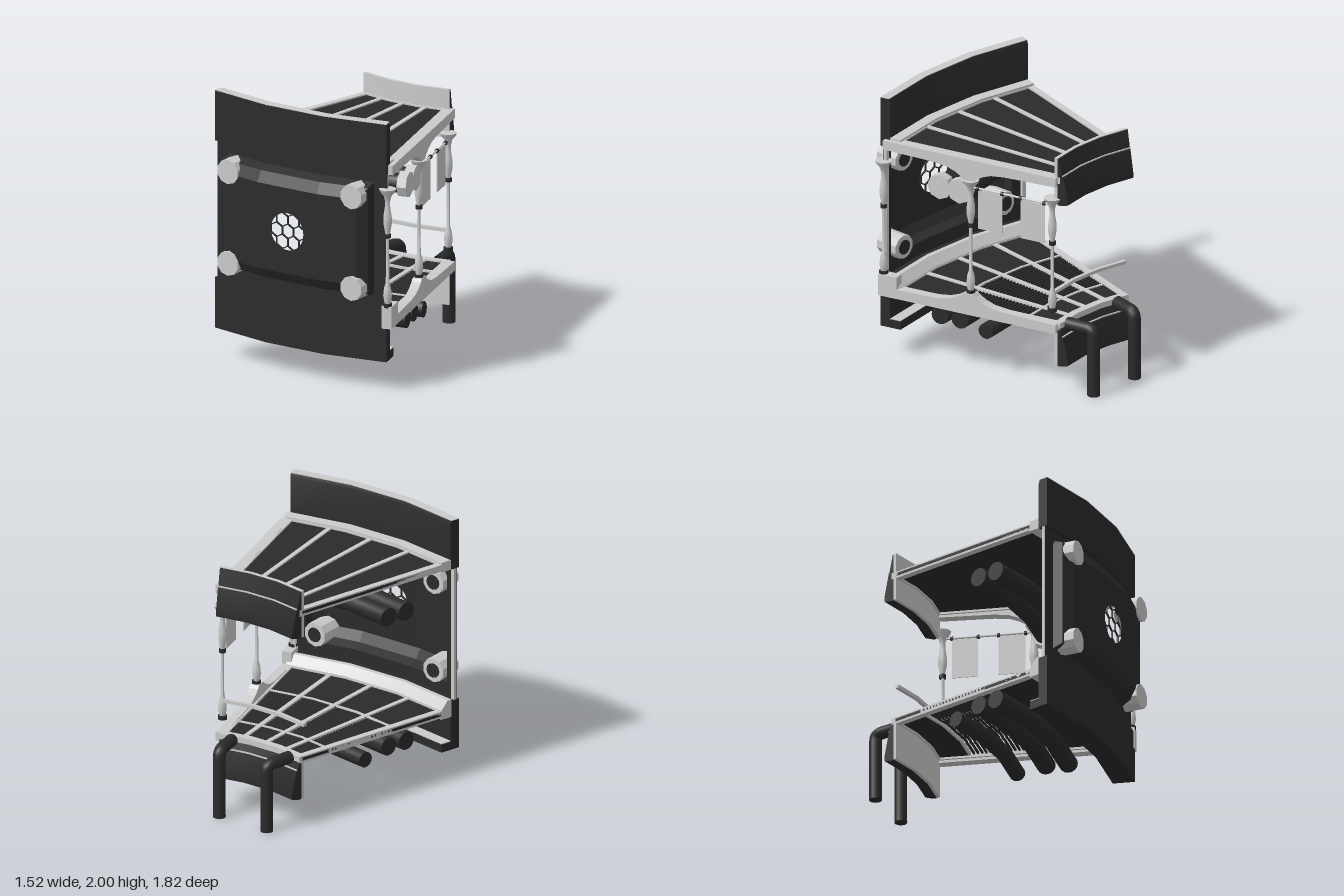
import * as THREE from 'three';
import { toCreasedNormals } from 'three/addons/utils/BufferGeometryUtils.js';

const CX = -0.035, CZ = -1.99, D = Math.PI / 180; // axis of the ring the wedge belongs to
const grey = new THREE.MeshStandardMaterial({ color: 0xcccccc, side: THREE.DoubleSide });
const dark = new THREE.MeshStandardMaterial({ color: 0x2b2b2b, side: THREE.DoubleSide });

function add(parent, name, geo, mat, x = 0, y = 0, z = 0) {
  const m = new THREE.Mesh(geo, mat);
  m.name = name;
  m.position.set(x, y, z);
  parent.add(m);
  return m;
}

// Point on the three-sided arc: corners at 5 and 15 degrees
function arcPoint(r, a, y) {
  const m = Math.abs(a) <= 5 ? a : Math.abs(a) - 10;
  const R = r * Math.cos(5 * D) / Math.cos(m * D);
  return [CX + R * Math.sin(a * D), y, CZ + R * Math.cos(a * D)];
}

function fromTriangles(pos) {
  const g = new THREE.BufferGeometry();
  g.setAttribute('position', new THREE.Float32BufferAttribute(pos, 3));
  g.computeVertexNormals();
  return g;
}

// Sweep a closed (radius, height) profile along the arc, with end caps
function sweep(profile, a0 = -15, a1 = 15) {
  const pts = profile.map(p => new THREE.Vector2(p[0], p[1]));
  if (THREE.ShapeUtils.isClockWise(pts)) pts.reverse();
  const angles = [a0, -5, 5, a1].filter((a, i) => i === 0 || i === 3 || (a > a0 && a < a1));
  const pos = [], P = (i, a) => arcPoint(pts[i].x, a, pts[i].y);
  for (let j = 0; j < angles.length - 1; j++) {
    for (let i = 0; i < pts.length; i++) {
      const k = (i + 1) % pts.length, a = angles[j], b = angles[j + 1];
      pos.push(...P(i, a), ...P(i, b), ...P(k, b), ...P(i, a), ...P(k, b), ...P(k, a));
    }
  }
  for (const [i, j, k] of THREE.ShapeUtils.triangulateShape(pts, [])) {
    pos.push(...P(i, a0), ...P(j, a0), ...P(k, a0), ...P(i, a1), ...P(k, a1), ...P(j, a1));
  }
  return toCreasedNormals(fromTriangles(pos), 0.45);
}
const rect = (r0, r1, y0, y1) => [[r0, y0], [r1, y0], [r1, y1], [r0, y1]];
const circle = (r, y, rad, n = 16) => Array.from({ length: n }, (_, i) =>
  [r + rad * Math.cos(i * 2 * Math.PI / n), y + rad * Math.sin(i * 2 * Math.PI / n)]);

// Group whose local +z runs outward from the axis at the given angle
function spoke(parent, name, deg) {
  const g = new THREE.Group();
  g.name = name;
  g.position.set(CX, 0, CZ);
  g.rotation.y = deg * D;
  parent.add(g);
  return g;
}

function bar(a, b, rad, n = 8) {
  return new THREE.TubeGeometry(new THREE.LineCurve3(a, b), 1, rad, n);
}

function buildFrontWall(root) {
  const wall = new THREE.Group();
  wall.name = 'frontWall';
  root.add(wall);
  add(wall, 'upperWall', sweep([[2.743, 1.62], [2.82, 1.62], [2.82, 1.995], [2.752, 1.995], [2.743, 1.97]]), dark);
  add(wall, 'upperWallCap', sweep(rect(2.752, 2.82, 1.993, 2)), grey);
  add(wall, 'upperFlange', sweep(rect(2.66, 2.745, 1.675, 1.695)), grey);
  add(wall, 'lowerWall', sweep([[2.66, 0.22], [2.82, 0.22], [2.82, 0.6], [2.743, 0.6], [2.743, 0.285], [2.66, 0.285]]), dark);
  add(wall, 'lowerFlangeCap', sweep(rect(2.66, 2.743, 0.283, 0.29)), grey);
  for (const s of [-1, 1]) {
    add(wall, 'wallEnd', sweep(rect(2.772, 2.798, 0.6, 1.62), s < 0 ? -15 : 14.4, s < 0 ? -14.4 : 15), grey);
  }

  // Middle wall with a pressed-out panel; its flat centre holds the window
  const cols = [-15, -12.9, -12.5, -11, -5, 5, 11, 12.5, 12.9, 15];
  const cd = [0, 0, 0.07, 0.111, 0.111, 0.111, 0.111, 0.07, 0, 0];
  const rows = [0.6, 0.7, 0.73, 0.8, 1.44, 1.52, 1.55, 1.62];
  const rd = [0, 0, 0.07, 0.111, 0.111, 0.07, 0, 0];
  const pos = [], P = (i, j) => arcPoint(2.8 + Math.min(cd[i], rd[j]), cols[i], rows[j]);
  for (let i = 0; i < 9; i++) {
    for (let j = 0; j < 7; j++) {
      if (i === 4 && j === 3) continue;
      pos.push(...P(i, j), ...P(i + 1, j), ...P(i + 1, j + 1), ...P(i, j), ...P(i + 1, j + 1), ...P(i, j + 1));
    }
  }
  add(wall, 'pressedPanel', fromTriangles(pos), dark);
  const w = 2.911 * Math.sin(5 * D), zf = CZ + 2.911 * Math.cos(5 * D), wy = 1.115;
  const plate = new THREE.Shape([[-w, 0.8], [w, 0.8], [w, 1.44], [-w, 1.44]].map(p => new THREE.Vector2(...p)));
  plate.holes.push(new THREE.Path().absarc(0, wy, 0.138, 0, Math.PI * 2, true));
  add(wall, 'windowPlate', new THREE.ShapeGeometry(plate, 16), dark, CX, 0, zf);

  // Honeycomb grille
  const s = 0.055, grille = new THREE.Group();
  grille.name = 'windowGrille';
  grille.position.set(CX, wy, zf - 0.01);
  wall.add(grille);
  for (let q = -3; q <= 3; q++) {
    for (let r = -3; r <= 3; r++) {
      const hx = s * Math.sqrt(3) * (q + r / 2), hy = s * 1.5 * r;
      for (let k = 0; k < 3; k++) {
        const a = k * 60 * D, mx = hx + s * 0.866 * Math.cos(a), my = hy + s * 0.866 * Math.sin(a);
        if (Math.hypot(mx, my) > 0.15) continue;
        add(grille, 'grilleBar', new THREE.BoxGeometry(0.009, s, 0.012), dark, mx, my, 0).rotation.z = a;
      }
    }
  }

  // Corner bosses running through the wall
  for (const x of [-0.525, 0.525]) {
    for (const y of [0.775, 1.46]) {
      const boss = new THREE.CylinderGeometry(0.091, 0.091, 0.185, 10).toNonIndexed().rotateX(Math.PI / 2);
      boss.computeVertexNormals();
      add(wall, 'cornerBoss', boss, grey, CX + x, y, 0.7925);
      add(wall, 'bossCore', new THREE.CylinderGeometry(0.055, 0.055, 0.01, 12).rotateX(Math.PI / 2), dark, CX + x, y, 0.698);
    }
  }
}

// Deck: arc frames, side frames and radial ribs
function buildDeck(root, name, y, open) {
  const deck = new THREE.Group();
  deck.name = name;
  root.add(deck);
  const panels = open ? [[1.4, 1.64], [2.22, 2.68]] : [[1.4, 2.68]];
  for (const [a, b] of panels) add(deck, 'deckPanel', sweep(rect(a, b, y - 0.035, y - 0.012)), dark);
  if (open) {
    for (let r = 1.665; r < 2.21; r += 0.03) add(deck, 'grateBar', sweep(rect(r, r + 0.013, y - 0.03, y - 0.014)), dark);
    for (const r of [1.63, 2.22]) add(deck, 'grateEdge', sweep(rect(r, r + 0.018, y - 0.035, y - 0.004)), grey);
  }
  add(deck, 'innerFrame', sweep(rect(1.37, 1.425, y - 0.05, y)), grey);
  add(deck, 'outerFrame', sweep(rect(2.655, 2.745, y - 0.06, y)), grey);
  for (const a of [-7.5, 0, 7.5]) {
    add(spoke(deck, 'ribSpoke', a), 'rib', new THREE.BoxGeometry(0.034, 0.02, 1.24), grey, 0, y - 0.012, 2.035);
  }
  for (const s of [-1, 1]) {
    add(spoke(deck, 'sideSpoke', 15 * s), 'sideFrame', new THREE.BoxGeometry(0.05, 0.05, 1.33), grey, -0.025 * s, y - 0.026, 2.04);
  }
}

function buildBackWalls(root) {
  for (const [name, lo, mid, hi] of [['upperBackWall', 1.46, 1.69, 1.825], ['lowerBackWall', 0.21, 0.44, 0.53]]) {
    const g = new THREE.Group();
    g.name = name;
    root.add(g);
    add(g, 'facing', sweep(rect(1.387, 1.412, lo + 0.005, hi)), grey);
    add(g, 'upperPanel', sweep([[1.387, mid], [1.387, hi - 0.005], [1.38, hi - 0.005], [1.35, mid]]), dark);
    add(g, 'lowerPanel', sweep([[1.387, lo], [1.387, mid], [1.345, mid], [1.302, lo + 0.045], [1.305, lo + 0.015], [1.36, lo]]), dark);
    add(g, 'ledgeTrim', sweep(rect(1.343, 1.356, mid - 0.003, mid + 0.006)), grey);
  }
  add(root, 'handRail', sweep(rect(1.405, 1.432, 0.765, 0.79)), grey);
}

// Side arcade on the left: arched beams, turned posts, rod and cloths
function buildArcade(root) {
  const side = spoke(root, 'sideArcade', 15);
  const half = [[2.13, 1.515], [2.15, 1.535], [2.2, 1.565], [2.27, 1.59], [2.36, 1.602], [2.785, 1.612], [2.785, 1.68]];
  const left = [[1.387, 1.68], [1.387, 1.612], [1.8, 1.602], [1.91, 1.59], [1.98, 1.565], [2.03, 1.535], [2.05, 1.515]];
  for (const flip of [false, true]) {
    const pts = [...left, ...half].map(([r, y]) => new THREE.Vector2(r, flip ? 2.15 - y : y));
    const geo = new THREE.ExtrudeGeometry(new THREE.Shape(pts), { depth: 0.07, bevelEnabled: false });
    add(side, flip ? 'lowerBeam' : 'upperBeam', geo.translate(0, 0, -0.035).rotateY(-Math.PI / 2), grey);
  }
  add(side, 'cornerBlock', new THREE.BoxGeometry(0.075, 0.165, 0.15), grey, 0, 0.553, 2.748);

  const profile = [[0, 0.635], [0.02, 0.64], [0.024, 0.66], [0.033, 0.71], [0.027, 0.77], [0.014, 0.81], [0.012, 1.14], [0.018, 1.18],
    [0.032, 1.25], [0.032, 1.3], [0.02, 1.38], [0.02, 1.42], [0.03, 1.46], [0.058, 1.495], [0.064, 1.512], [0, 1.515]]
    .map(p => new THREE.Vector2(...p));
  for (const r of [1.43, 2.09, 2.795]) {
    add(side, 'post', toCreasedNormals(new THREE.LatheGeometry(profile, 8), 0.9), grey, 0, 0, r);
    for (const [y, rad] of [[0.642, 0.033], [1.16, 0.025]]) {
      add(side, 'postRing', new THREE.CylinderGeometry(rad, rad, 0.03, 10), dark, 0, y, r);
    }
  }
  const V = (x, y, z) => new THREE.Vector3(x, y, z);
  add(side, 'clothRod', bar(V(0, 1.455, 1.43), V(0, 1.455, 2.09)), grey);
  side.getObjectByName('clothRod').geometry = bar(V(0, 1.455, 1.43), V(0, 1.455, 2.09), 0.008);
  for (const [a, b] of [[1.835, 2.03], [1.497, 1.687]]) {
    add(side, 'cloth', new THREE.BoxGeometry(0.006, 0.3, b - a), grey, 0, 1.293, (a + b) / 2);
    for (const r of [a, b]) add(side, 'rodClip', new THREE.CylinderGeometry(0.016, 0.016, 0.02, 8).rotateX(Math.PI / 2), dark, 0, 1.453, r);
  }
  // Octagonal end fittings of the overhead ducts
  for (const r of [2.34, 2.18]) {
    const cap = new THREE.CylinderGeometry(0.095, 0.095, 0.07, 8).toNonIndexed().rotateZ(Math.PI / 2);
    cap.computeVertexNormals();
    add(side, 'ductEnd', cap, grey, -0.02, 1.405, r);
  }
}

function buildPipes(root) {
  for (const [r, y, rad] of [[2.34, 1.405, 0.07], [2.18, 1.405, 0.07], [2.34, 0.4, 0.068], [2.18, 0.4, 0.068], [1.97, 0.355, 0.058]]) {
    add(root, 'duct', sweep(circle(r, y, rad)), dark);
  }
  // Drain pipes bending down behind the back wall
  for (const s of [-1, 1]) {
    const x1 = CX + 0.21 * s, x0 = CX + 0.255 * s, xm = CX + 0.222 * s;
    const path = new THREE.CurvePath();
    const a = new THREE.Vector3(x0, 0.51, -0.65), b = new THREE.Vector3(xm, 0.51, -0.81);
    const c = new THREE.Vector3(x1, 0.46, -0.862);
    path.add(new THREE.LineCurve3(a, b));
    path.add(new THREE.QuadraticBezierCurve3(b, new THREE.Vector3(x1, 0.51, -0.862), c));
    path.add(new THREE.LineCurve3(c, new THREE.Vector3(x1, 0, -0.862)));
    add(root, 'drainPipe', new THREE.TubeGeometry(path, 40, 0.046, 14), dark);
    add(root, 'drainPipeEnd', new THREE.CylinderGeometry(0.046, 0.046, 0.01, 14), dark, x1, 0.005, -0.862);
  }
}

export function createModel() {
  const root = new THREE.Group();
  root.name = 'ringSegment';
  buildFrontWall(root);
  buildDeck(root, 'roof', 1.68, false);
  buildDeck(root, 'floor', 0.54, true);
  add(root, 'skirting', sweep([[2.66, 0.475], [2.75, 0.475], [2.75, 0.61], [2.715, 0.61], [2.66, 0.545]]), grey);
  buildBackWalls(root);
  buildArcade(root);
  buildPipes(root);
  return root;
}
